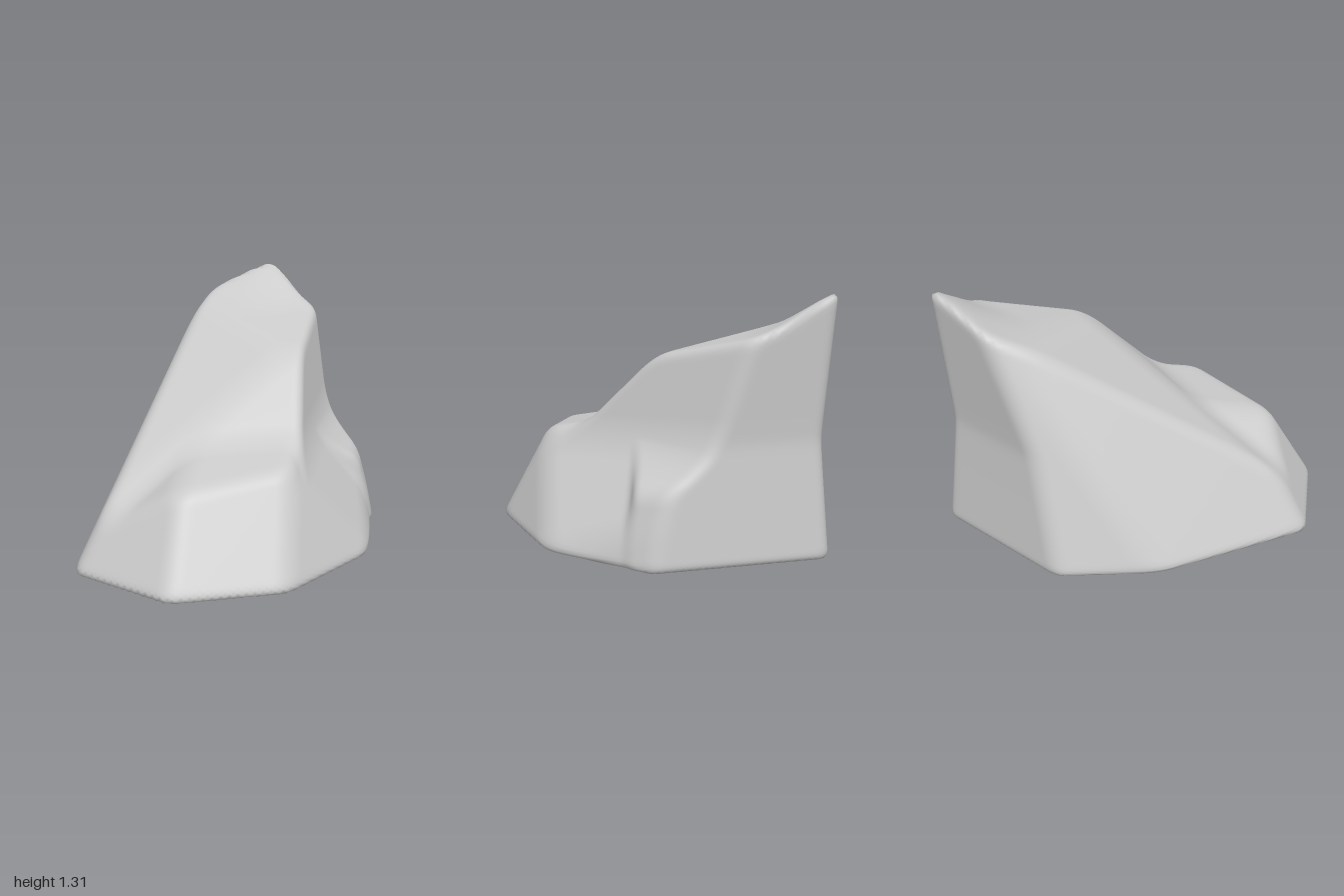
import * as THREE from 'three';
import { mergeVertices } from 'three/addons/utils/BufferGeometryUtils.js';

// A facet is a half-space: distance from the plane n.p = d, negative inside
function facet(x, y, z, d) {
  const l = Math.hypot(x, y, z);
  return (p) => (x * p.x + y * p.y + z * p.z - d) / l;
}

// A back facet is slightly waisted at mid height
function waisted(x, z, d) {
  return (p) => x * p.x + z * p.z - d - 0.085 * Math.hypot(p.y - 0.6, 0.04);
}

// Smooth maximum rounds the edges between facets; smooth minimum blends blocks
function smax(a, b, k) {
  const h = Math.max(k - Math.abs(a - b), 0) / k;
  return Math.max(a, b) + h * h * k * 0.25;
}
const smin = (a, b, k) => -smax(-a, -b, k);
const cut = (...parts) => (p) => parts.map((f) => f(p)).reduce((a, b) => smax(a, b, 0.045));
const join = (...parts) => (p) => parts.map((f) => f(p)).reduce((a, b) => smin(a, b, 0.05));

// Raised tip on the back of the crown
const tip = cut(facet(-0.05, 1, 0.6, 0.737), facet(0.34, 1, 0.6, 0.737));

// Tall leaning peak
const peak = cut(
  join(facet(0.08, 1, 0.24, 0.96), tip), // crown
  facet(-0.21, 1, 0.606, 0.825), // long sloping face
  facet(0.19, 1, 0.95, 0.865), // ramp down to the ledge
  facet(1, 0.19, 0, 0.525), // steep +x wall
);

// Low skirt with the front ledge
const skirt = cut(
  facet(0, 1, 0.25, 0.645), // ledge top
  facet(-0.6, 1, 0.28, 0.722), // -x flank of the ledge
  facet(0.82, 0.56, 0.04, 0.65), // flare on the +x side
  facet(1, 0.2, -0.15, 0.76), // foot of the +x side
);

// Small bulge towards the back of the +x side
const bulge = cut(
  facet(0.6, 0.8, 0, 0.675), // shoulder
  facet(-0.3, 1, 0, 0.42), // top, falling into the body
  facet(1, 0.2, -0.15, 0.76), // outer wall
  facet(0.5, 0, 0.87, 0.07), // front end
);

// Outer facets that trim everything
const rockField = cut(
  facet(0, -1, 0, 0), // underside
  facet(-0.426, 0.6, 1, 1.055), // lower front, -x half
  facet(0.447, 0.56, 0.894, 0.9), // lower front, +x half
  facet(0.89, 0.35, 0.447, 0.767), // front corner on the +x side
  facet(-1, 0.48, 0.19, 0.765), // -x side, front
  facet(-1, 0.27, -0.2, 0.785), // -x side, back
  waisted(-0.55, -0.835, 0.79), // back, -x half
  waisted(0.62, -0.79, 0.748), // back, +x half
  join(peak, skirt, bulge),
);

export function createModel() {
  const group = new THREE.Group();
  group.name = 'rock';

  const ball = new THREE.IcosahedronGeometry(1, 55);
  ball.deleteAttribute('uv');
  ball.deleteAttribute('normal');
  const geometry = mergeVertices(ball, 1e-5);

  // Push every point of the ball out from the core until it meets the surface
  const core = new THREE.Vector3(0, 0.35, -0.1);
  const pos = geometry.attributes.position;
  const dir = new THREE.Vector3();
  const p = new THREE.Vector3();
  for (let i = 0; i < pos.count; i++) {
    dir.fromBufferAttribute(pos, i).normalize();
    let near = 0;
    let far = 2.5;
    for (let s = 0; s < 24; s++) {
      const mid = (near + far) / 2;
      p.copy(core).addScaledVector(dir, mid);
      if (rockField(p) < 0) near = mid;
      else far = mid;
    }
    pos.setXYZ(i, p.x, p.y, p.z);
  }
  geometry.computeVertexNormals();

  const mesh = new THREE.Mesh(geometry, new THREE.MeshStandardMaterial({ color: 0xcccccc }));
  mesh.name = 'boulder';
  group.add(mesh);
  return group;
}
